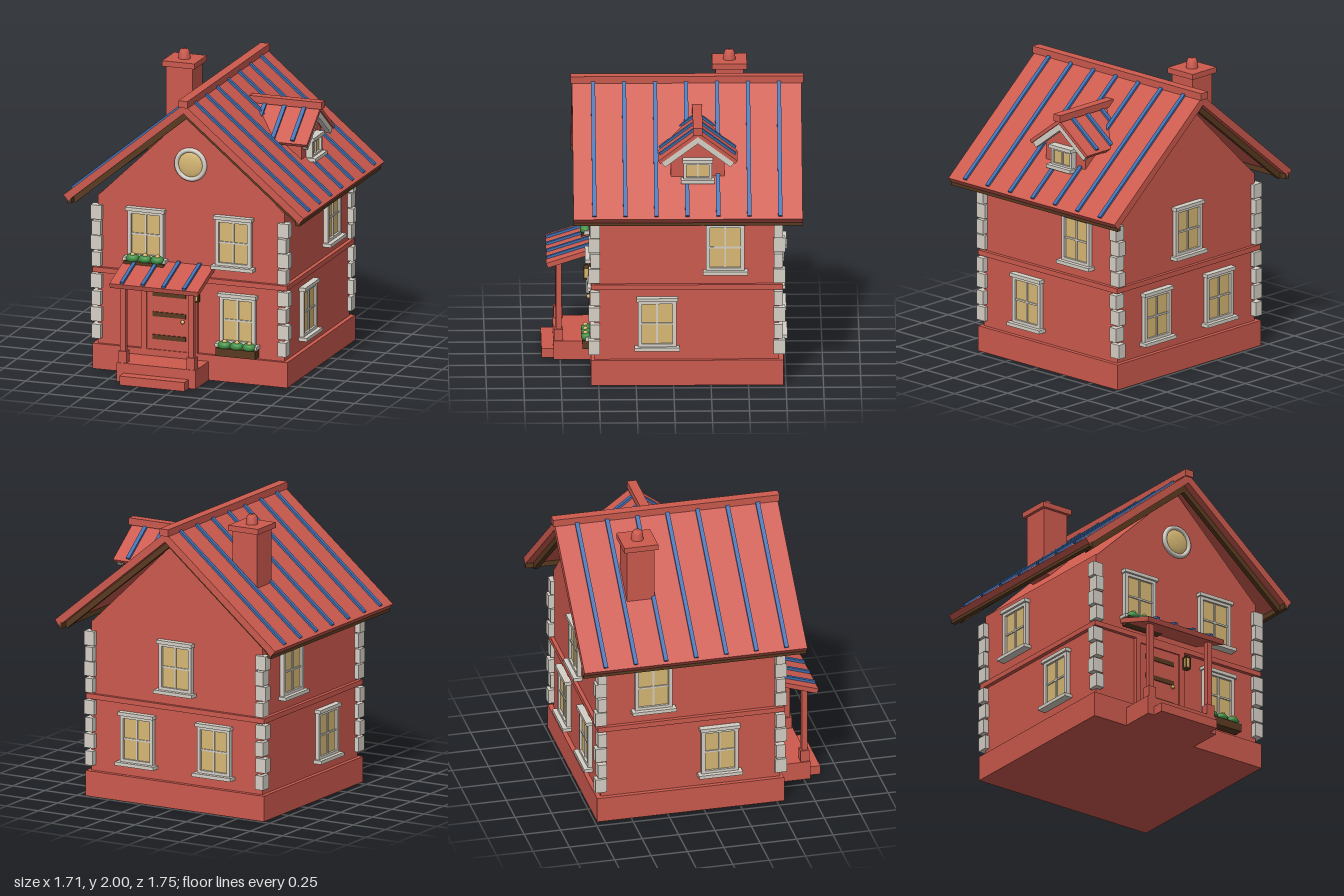
import * as THREE from 'three';

const mat = (name, color, side = THREE.FrontSide) => {
  const m = new THREE.MeshStandardMaterial({ color, side });
  m.name = name;
  return m;
};

export function createModel() {
  const red = mat('brick red', 0xcd5a4e);
  const blue = mat('seam blue', 0x3f70b2);
  const stone = mat('pale stone', 0xd6d1c7);
  const glass = mat('warm glass', 0xd8b975);
  const brown = mat('dark timber', 0x5a3a20);
  const green = mat('leaf green', 0x3f9145);
  const gold = mat('gold', 0xdcb468);

  const house = new THREE.Group();
  house.name = 'house';
  const ZC = -0.088, FRONT = 0.527, BACK = -0.703, WX = 0.665;

  const add = (parent, name, geo, m, x = 0, y = 0, z = 0) => {
    const mesh = new THREE.Mesh(geo, m);
    mesh.name = name;
    mesh.position.set(x, y, z);
    parent.add(mesh);
    return mesh;
  };
  const box = (parent, name, m, w, h, d, x, y, z) =>
    add(parent, name, new THREE.BoxGeometry(w, h, d), m, x, y, z);
  const group = (parent, name, x = 0, y = 0, z = 0, ry = 0) => {
    const g = new THREE.Group();
    g.name = name;
    g.position.set(x, y, z);
    g.rotation.y = ry;
    parent.add(g);
    return g;
  };
  // Triangular or other outline pushed along z from z0 to z1
  const prism = (parent, name, m, pts, z0, z1) => {
    const shape = new THREE.Shape(pts.map(p => new THREE.Vector2(...p)));
    const geo = new THREE.ExtrudeGeometry(shape, { depth: z1 - z0, bevelEnabled: false });
    return add(parent, name, geo, m, 0, 0, z0);
  };

  // Walls
  box(house, 'plinth', red, 1.39, 0.175, 1.285, 0, 0.0875, ZC - 0.004);
  box(house, 'walls', red, 2 * WX, 1.03, FRONT - BACK, 0, 0.69, ZC);
  box(house, 'stringCourse', red, 1.385, 0.035, 1.28, 0, 0.687, ZC);
  prism(house, 'gable', red, [[-0.66, 1.2], [0.66, 1.2], [0, 1.84]], BACK, FRONT);

  // Corner stones, alternating long and short
  const quoinY = [1.085, 0.98, 0.875, 0.765, 0.61, 0.495, 0.38, 0.265];
  for (const sx of [-1, 1]) for (const sz of [-1, 1]) {
    quoinY.forEach((y, i) => {
      const long = i % 2 === 0;
      box(house, 'cornerStone', stone, long ? 0.078 : 0.062, 0.098, long ? 0.062 : 0.078,
        sx * (long ? 0.667 : 0.662), y, ZC + sz * (long ? 0.612 : 0.618));
    });
  }

  // Pitched roof running along z: two slabs, raised seams and rake boards
  const pitchedRoof = (parent, o) => {
    for (const s of [-1, 1]) {
      const side = group(parent, 'roofSlope', 0, o.apex, 0);
      side.rotation.z = -s * o.angle;
      const mid = (o.z0 + o.z1) / 2;
      box(side, 'roofSlab', red, o.len, o.thick, o.z1 - o.z0, s * o.len / 2, -o.thick / 2, mid);
      for (const z of o.seams)
        box(side, 'roofSeam', blue, o.len - 0.045, 0.024, 0.028, s * (o.len / 2 + 0.002), 0.002, z);
      for (const z of o.boards)
        box(side, 'rakeBoard', o.boardMat, o.len - 0.01, o.boardH, 0.035,
          s * (o.len / 2 - 0.005), -o.thick - o.boardH / 2, z);
    }
  };
  const seams = Array.from({ length: 7 }, (_, i) => 0.53 - i * 0.2067);
  pitchedRoof(house, {
    apex: 1.926, angle: 0.691, len: 1.112, thick: 0.05, z0: -0.86, z1: 0.67,
    seams, boards: [0.6, -0.79], boardH: 0.038, boardMat: brown,
  });
  box(house, 'ridgeCap', red, 0.066, 0.048, 1.555, 0, 1.928, -0.097);
  for (const s of [-1, 1]) box(house, 'fascia', brown, 0.03, 0.045, 1.53, s * 0.815, 1.186, -0.095);

  // Chimney
  const chimney = group(house, 'chimney', -0.392, 0, -0.385);
  box(chimney, 'chimneyStack', red, 0.19, 0.48, 0.19, 0, 1.66, 0);
  box(chimney, 'chimneyCap', red, 0.232, 0.038, 0.232, 0, 1.917, 0);
  const pot = [[0.042, 1.93], [0.037, 1.98], [0.026, 2], [0, 2]].map(p => new THREE.Vector2(...p));
  add(chimney, 'chimneyPot', new THREE.LatheGeometry(pot, 20), red);

  // Window facing +z with frame, four panes, lintel and sill
  const windowUnit = (parent, name, x, y, z, ry = 0, w = 0.255, h = 0.33, rows = 2) => {
    const g = group(parent, name, x, y, z, ry);
    const t = w * 0.1;
    box(g, 'pane', glass, w - t, h - t, 0.02, 0, 0, 0.004);
    for (const s of [-1, 1]) {
      box(g, 'frameSide', stone, t, h, 0.06, s * (w - t) / 2, 0, 0);
      box(g, 'frameRail', stone, w, t, 0.06, 0, s * (h - t) / 2, 0);
    }
    box(g, 'mullion', stone, 0.012, h, 0.04, 0, 0, 0.002);
    if (rows > 1) box(g, 'glazingBar', stone, w, 0.012, 0.04, 0, 0, 0.002);
    box(g, 'lintel', stone, w * 1.08, 0.024, 0.09, 0, h / 2 + 0.006, 0);
    box(g, 'sill', stone, w * 1.18, 0.024, 0.12, 0, -h / 2 - 0.006, 0);
    return g;
  };
  const UP = 0.963, LOW = 0.43;
  windowUnit(house, 'frontUpperWindow', -0.315, UP, FRONT);
  windowUnit(house, 'frontUpperWindow', 0.31, UP, FRONT);
  windowUnit(house, 'frontLowerWindow', 0.34, LOW, FRONT);
  windowUnit(house, 'backUpperWindow', 0, UP, BACK, Math.PI);
  for (const s of [-1, 1]) {
    windowUnit(house, 'backLowerWindow', s * 0.3, LOW, BACK, Math.PI);
    windowUnit(house, 'sideUpperWindow', s * WX, UP, -0.345, s * Math.PI / 2);
    windowUnit(house, 'sideLowerWindow', s * WX, LOW, 0.11, s * Math.PI / 2);
  }

  // Round gable window
  const round = group(house, 'roundWindow', 0, 1.475, FRONT);
  add(round, 'roundFrame', new THREE.TorusGeometry(0.1, 0.016, 10, 40), stone, 0, 0, 0.008);
  add(round, 'roundPane', new THREE.SphereGeometry(0.096, 32, 16), glass).scale.z = 0.25;

  // Dormer on the +x slope, built facing local +z
  const dormer = group(house, 'dormer', 0, 0, -0.162, Math.PI / 2);
  prism(dormer, 'dormerWalls', red,
    [[-0.18, 1.29], [0.18, 1.29], [0.18, 1.57], [0, 1.72], [-0.18, 1.57]], 0.25, 0.595);
  pitchedRoof(dormer, {
    apex: 1.762, angle: 0.645, len: 0.332, thick: 0.024, z0: 0.19, z1: 0.665,
    seams: [0.275, 0.416, 0.556], boards: [0.638], boardH: 0.04, boardMat: stone,
  });
  box(dormer, 'dormerRidge', red, 0.064, 0.048, 0.515, 0, 1.774, 0.425);
  windowUnit(dormer, 'dormerWindow', 0, 1.485, 0.61, 0, 0.19, 0.125, 1);

  // Porch: steps, posts, lean-to roof
  const porch = group(house, 'porch', -0.148, 0, 0);
  box(porch, 'landing', red, 0.565, 0.13, 0.29, 0, 0.065, 0.65);
  box(porch, 'step', red, 0.465, 0.062, 0.1, 0, 0.031, 0.825);
  for (const s of [-1, 1]) {
    box(porch, 'post', red, 0.038, 0.55, 0.038, s * 0.243, 0.4, 0.76);
    box(porch, 'postBase', red, 0.06, 0.08, 0.06, s * 0.243, 0.17, 0.76);
  }
  const lean = group(porch, 'porchRoof', 0, 0.787, 0.535);
  lean.rotation.x = 0.315;
  box(lean, 'porchSlab', red, 0.63, 0.034, 0.325, 0, -0.017, 0.162);
  for (let i = 0; i < 4; i++)
    box(lean, 'porchSeam', blue, 0.024, 0.026, 0.315, -0.229 + i * 0.148, 0.004, 0.16);

  // Door
  const door = group(porch, 'door', 0, 0, FRONT);
  for (const s of [-1, 1]) box(door, 'doorJamb', red, 0.04, 0.54, 0.05, s * 0.18, 0.4, 0);
  box(door, 'doorHead', red, 0.4, 0.035, 0.05, 0, 0.66, 0);
  box(door, 'doorLeaf', red, 0.32, 0.52, 0.03, 0, 0.39, 0);
  for (const y of [0.56, 0.42, 0.262]) box(door, 'doorStrap', brown, 0.235, 0.032, 0.008, 0, y, 0.018);
  add(door, 'doorKnob', new THREE.SphereGeometry(0.014, 14, 10), gold, 0.1, 0.385, 0.032);

  // Wall lantern
  const lantern = group(house, 'lantern', 0.055, 0.585, 0.575);
  box(lantern, 'lanternGlass', gold, 0.03, 0.07, 0.03, 0, 0, 0);
  box(lantern, 'lanternBase', brown, 0.04, 0.012, 0.04, 0, -0.04, 0);
  add(lantern, 'lanternCap', new THREE.CylinderGeometry(0.012, 0.032, 0.022, 4), brown, 0, 0.045, 0)
    .rotation.y = Math.PI / 4;
  box(lantern, 'lanternArm', brown, 0.012, 0.012, 0.06, 0, 0.05, -0.025);
  for (const x of [-1, 1]) for (const z of [-1, 1])
    box(lantern, 'lanternBar', brown, 0.007, 0.08, 0.007, x * 0.016, 0, z * 0.016);

  // Flower boxes with shrubs and blossoms
  const flowerBox = (x, y) => {
    const g = group(house, 'flowerBox', x, y, 0.572);
    box(g, 'planter', brown, 0.285, 0.055, 0.068, 0, 0, 0);
    for (const i of [-1, 0, 1]) {
      add(g, 'shrub', new THREE.SphereGeometry(0.046, 16, 12), green, i * 0.088, 0.044, 0.006)
        .scale.set(1, 0.68, 0.8);
      add(g, 'blossom', new THREE.SphereGeometry(0.017, 12, 8), gold, i * 0.088 + 0.004, 0.07, 0.012);
    }
  };
  flowerBox(0.345, 0.217);
  flowerBox(-0.31, 0.757);

  return house;
}
